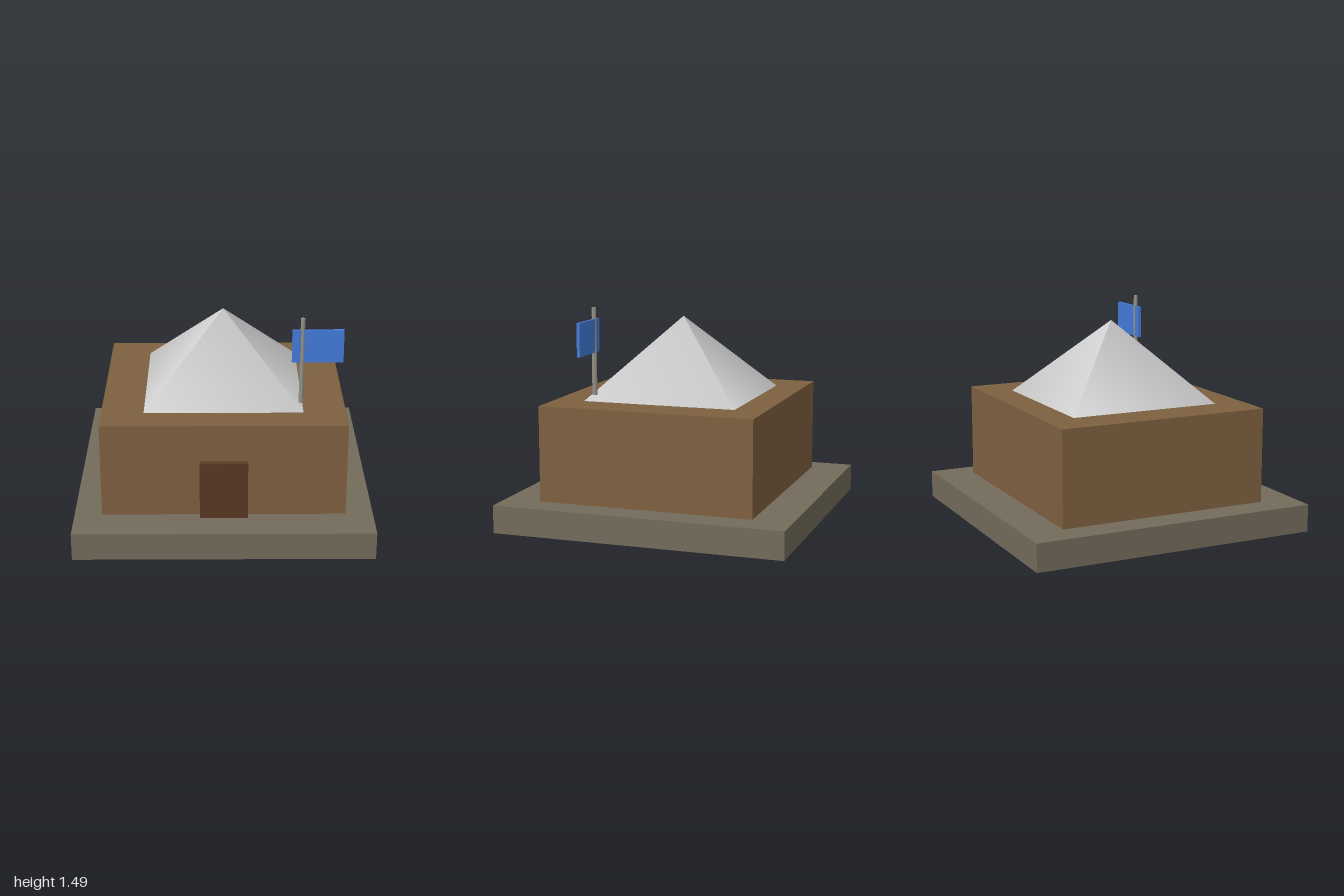
import * as THREE from 'three';

export function createModel() {
  const model = new THREE.Group();

  const add = (name, geometry, color, x, y, z) => {
    const mesh = new THREE.Mesh(geometry, new THREE.MeshStandardMaterial({ color }));
    mesh.name = name;
    mesh.position.set(x, y, z);
    model.add(mesh);
    return mesh;
  };

  // Box given by its size and the height of its underside
  const box = (name, color, [w, h, d], x, bottom, z) =>
    add(name, new THREE.BoxGeometry(w, h, d), color, x, bottom + h / 2, z);

  // Stone plinth, walls and door
  box('plinth', 0x736b5b, [2, 0.19, 2], 0, 0, 0);
  box('walls', 0x7e6040, [1.63, 0.65, 1.48], 0, 0.195, 0);
  box('door', 0x573823, [0.32, 0.4, 0.04], 0, 0.19, 0.763);

  // Four-sided roof with smooth normals, turned square to the walls
  const roofHeight = 0.545;
  const roof = new THREE.ConeGeometry(0.532 * Math.SQRT2, roofHeight, 4);
  roof.rotateY(Math.PI / 4);
  add('roof', roof, 0xcccccc, 0, 0.845 + roofHeight / 2, 0);

  // Tapered flagpole and flag near the front left corner
  add('flagpole', new THREE.CylinderGeometry(0.016, 0.019, 0.595, 6), 0x98948a, 0.518, 1.1875, 0.458);
  box('flag', 0x447cdb, [0.34, 0.225, 0.021], 0.62, 1.18, 0.458);

  return model;
}
